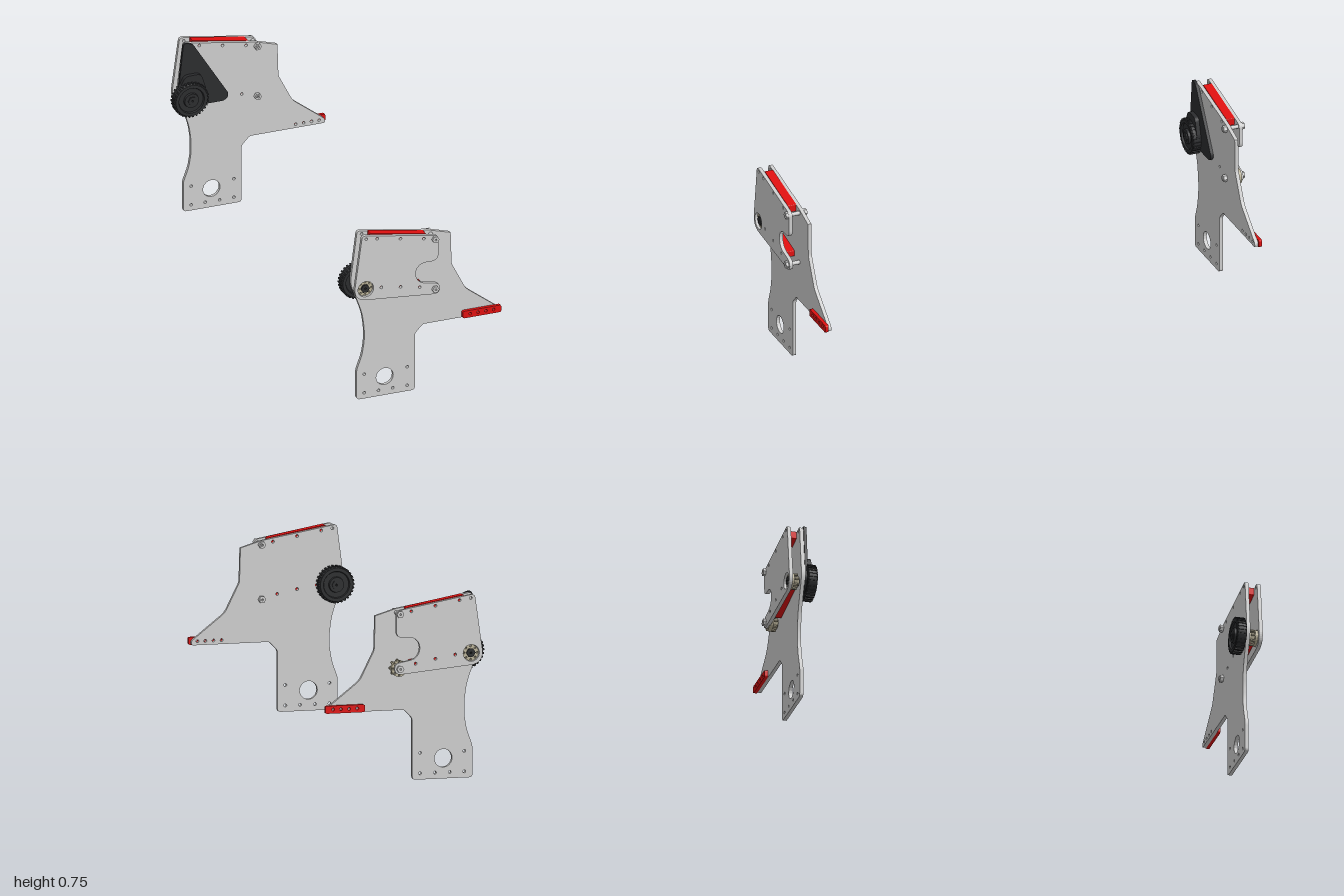
import * as THREE from 'three';

const mat = (color) => new THREE.MeshStandardMaterial({ color });
const grey = mat(0xcccccc), red = mat(0xdd1010), dark = mat(0x2b2c2e), tan = mat(0xb9b198);
const HUB = [-0.262, 0.512], ARM = [0.037, 0.46], TOP = [0.037, 0.682];

// Holes shared by both plates: upper row and lower row
const topRow = [[-0.26, 0.735], [-0.213, 0.728], [-0.112, 0.71], [-0.011, 0.692]];
const midRow = [[-0.195, 0.508], [-0.112, 0.495], [-0.029, 0.479]];
const barRow = [0.204, 0.238, 0.272, 0.305].map((x) => [x, 0.302]);
const footRow = [-0.248, -0.187, -0.125, -0.063].map((x) => [x, 0.025]);

function addHoles(shape, points, r = 0.006) {
  for (const [x, y] of points) {
    const p = new THREE.Path();
    p.absarc(x, y, r, 0, Math.PI * 2, true);
    shape.holes.push(p);
  }
  return shape;
}

// Polygon outline whose corners [x, y, cut] are rounded by the given cut length
function outline(pts) {
  const s = new THREE.Shape();
  pts.forEach(([x, y, cut = 0], i) => {
    const c = new THREE.Vector2(x, y);
    const toward = (q) => {
      const d = new THREE.Vector2(q[0] - x, q[1] - y);
      return d.setLength(Math.min(cut, d.length() / 2)).add(c);
    };
    const a = toward(pts[(i + pts.length - 1) % pts.length]);
    const b = toward(pts[(i + 1) % pts.length]);
    if (i) s.lineTo(a.x, a.y); else s.moveTo(a.x, a.y);
    if (cut) s.quadraticCurveTo(x, y, b.x, b.y);
  });
  s.closePath();
  return s;
}

function disc(x, y, r, sides = 0) {
  const s = new THREE.Shape();
  if (!sides) return s.absarc(x, y, r, 0, Math.PI * 2, false);
  for (let i = 0; i < sides; i++) {
    const a = (i / sides) * Math.PI * 2;
    s[i ? 'lineTo' : 'moveTo'](x + r * Math.cos(a), y + r * Math.sin(a));
  }
  return s;
}

// Bar centred on a sloping line of holes
function slopedBar(x0, x1, rowY, rowX, half, holes) {
  const y = (x) => rowY - 0.177 * (x - rowX);
  return addHoles(outline([[x0, y(x0) - half, 0.004], [x1, y(x1) - half, 0.004],
    [x1, y(x1) + half, 0.004], [x0, y(x0) + half, 0.004]]), holes);
}

function mainPlate() {
  const s = outline([
    [-0.282, 0, 0.015], [-0.03, 0, 0.015], [-0.03, 0.25, 0.01], [0.005, 0.286, 0.008],
    [0.33, 0.286, 0.008], [0.33, 0.304, 0.008], [0.19, 0.412, 0.02], [0.129, 0.533, 0.01],
    [0.125, 0.672], [0.037, 0.698], [-0.279, 0.751, 0.014],
    [-0.309, 0.52, 0.03], [-0.278, 0.44, 0.02], [-0.257, 0.38, 0.03], [-0.248, 0.31, 0.02],
    [-0.248, 0.255, 0.02], [-0.258, 0.195, 0.02], [-0.282, 0.13, 0.015]]);
  addHoles(s, [...topRow, ...midRow, ...barRow, ...footRow, [-0.248, 0.108], [-0.063, 0.108]]);
  return addHoles(s, [[-0.16, 0.083]], 0.037);
}

function outerPlate() {
  const s = new THREE.Shape();
  s.moveTo(-0.266, 0.464);
  s.lineTo(0.035, 0.437);
  s.absarc(0.035, 0.461, 0.024, -Math.PI / 2, Math.PI * 0.45, false);
  s.lineTo(-0.01, 0.494);
  s.bezierCurveTo(-0.06, 0.505, -0.06, 0.585, -0.003, 0.585);
  s.lineTo(0.025, 0.585);
  s.quadraticCurveTo(0.052, 0.588, 0.052, 0.615);
  s.lineTo(0.052, 0.68);
  s.quadraticCurveTo(0.05, 0.695, 0.036, 0.698);
  s.lineTo(-0.262, 0.749);
  s.quadraticCurveTo(-0.277, 0.75, -0.279, 0.736);
  s.lineTo(-0.309, 0.52);
  s.quadraticCurveTo(-0.312, 0.472, -0.266, 0.464);
  addHoles(s, [...topRow, ...midRow]);
  return addHoles(s, [HUB], 0.034);
}

function createSide(side) {
  const g = new THREE.Group();
  // Extrude between two distances from the centre plane
  const slab = (name, shape, near, far, material) => {
    const geo = new THREE.ExtrudeGeometry(shape, { depth: far - near, bevelEnabled: false, curveSegments: 10 });
    const m = new THREE.Mesh(geo, material);
    m.position.z = side > 0 ? near : -far;
    m.name = name;
    g.add(m);
  };

  slab('mainPlate', mainPlate(), 0.922, 0.937, grey);
  slab('outerPlate', outerPlate(), 0.973, 0.988, grey);
  slab('upperSpacer', slopedBar(-0.235, 0.005, 0.728, -0.213, 0.016, topRow.slice(1)), 0.937, 0.973, red);
  slab('lowerSpacer', slopedBar(-0.212, -0.012, 0.508, -0.195, 0.013, midRow), 0.937, 0.973, red);
  slab('footBar', addHoles(outline([[0.172, 0.286, 0.008], [0.338, 0.286, 0.008],
    [0.338, 0.317, 0.008], [0.172, 0.317, 0.008]]), barRow), 0.937, 0.951, red);

  // Bolts with hexagonal heads, nuts and spacer sleeves
  for (const [x, y] of [ARM, TOP]) {
    slab('boltShank', addHoles(disc(x, y, 0.0085), [[x, y]], 0.004), 0.905, 0.994, grey);
    slab('boltNut', addHoles(disc(x, y, 0.015, 6), [[x, y]], 0.004), 0.908, 0.922, grey);
    slab('boltHead', addHoles(disc(x, y, 0.015, 6), [[x, y]], 0.004), 0.988, 0.999, grey);
  }

  // Toothed sprocket: flange with a ring of holes and small end teeth
  const sprocket = ([x, y]) => {
    const ring = (r, n) => Array.from({ length: n }, (_, i) =>
      [x + r * Math.cos(i / n * Math.PI * 2), y + r * Math.sin(i / n * Math.PI * 2)]);
    const face = addHoles(addHoles(disc(x, y, 0.033), [[x, y]], 0.013), ring(0.027, 8), 0.004);
    slab('sprocketFace', face, 0.962, 0.978, tan);
    slab('sprocketBody', addHoles(disc(x, y, 0.022), [[x, y]], 0.013), 0.94, 0.962, tan);
    for (const [px, py] of ring(0.03, 8)) slab('sprocketTooth', disc(px, py, 0.005, 6), 0.945, 0.962, tan);
  };
  sprocket(HUB);
  if (side < 0) sprocket(ARM);

  // Axle
  const [hx, hy] = HUB;
  slab('axle', addHoles(disc(hx, hy, 0.019, 6), [HUB], 0.004), 0.87, 0.984, dark);

  // Wheel: recessed lathe with ribbed tread
  const profile = [[0.014, -0.022], [0.03, -0.022], [0.032, -0.013], [0.052, -0.013], [0.055, -0.02],
    [0.068, -0.02], [0.072, -0.014], [0.072, 0.014], [0.068, 0.02], [0.055, 0.02], [0.052, 0.013],
    [0.032, 0.013], [0.03, 0.022], [0.014, 0.022], [0.014, -0.022]].map(([r, z]) => new THREE.Vector2(r, z));
  const wheel = new THREE.Group();
  wheel.name = 'wheel';
  const wheelMat = dark.clone();
  wheelMat.flatShading = true;
  const body = new THREE.Mesh(new THREE.LatheGeometry(profile, 40), wheelMat);
  body.rotation.x = Math.PI / 2;
  body.name = 'wheelBody';
  wheel.add(body);
  for (let i = 0; i < 30; i++) {
    const a = (i / 30) * Math.PI * 2;
    const rib = new THREE.Mesh(new THREE.BoxGeometry(0.008, 0.007, 0.036), dark);
    rib.position.set(0.0715 * Math.cos(a), 0.0715 * Math.sin(a), 0);
    rib.rotation.z = a;
    rib.name = 'treadRib';
    wheel.add(rib);
  }
  wheel.position.set(hx - 0.002, hy, side * 0.896);
  g.add(wheel);

  // Triangular guard, on the rear side only
  if (side < 0) {
    slab('guardPlate', outline([[-0.285, 0.758, 0.02], [-0.245, 0.745, 0.015], [-0.088, 0.495, 0.018],
      [-0.105, 0.47, 0.018], [-0.25, 0.47, 0.02], [-0.312, 0.5, 0.03]]), 0.91, 0.922, dark);
    slab('guardHousing', outline([[-0.285, 0.615, 0.02], [-0.215, 0.615, 0.02], [-0.19, 0.53, 0.02],
      [-0.21, 0.46, 0.02], [-0.3, 0.46, 0.02], [-0.325, 0.53, 0.02]]), 0.893, 0.91, dark);
  }
  return g;
}

export function createModel() {
  const model = new THREE.Group();
  model.name = 'sidePlatePair';
  for (const side of [1, -1]) {
    const g = createSide(side);
    g.name = side > 0 ? 'frontAssembly' : 'rearAssembly';
    model.add(g);
  }
  return model;
}
